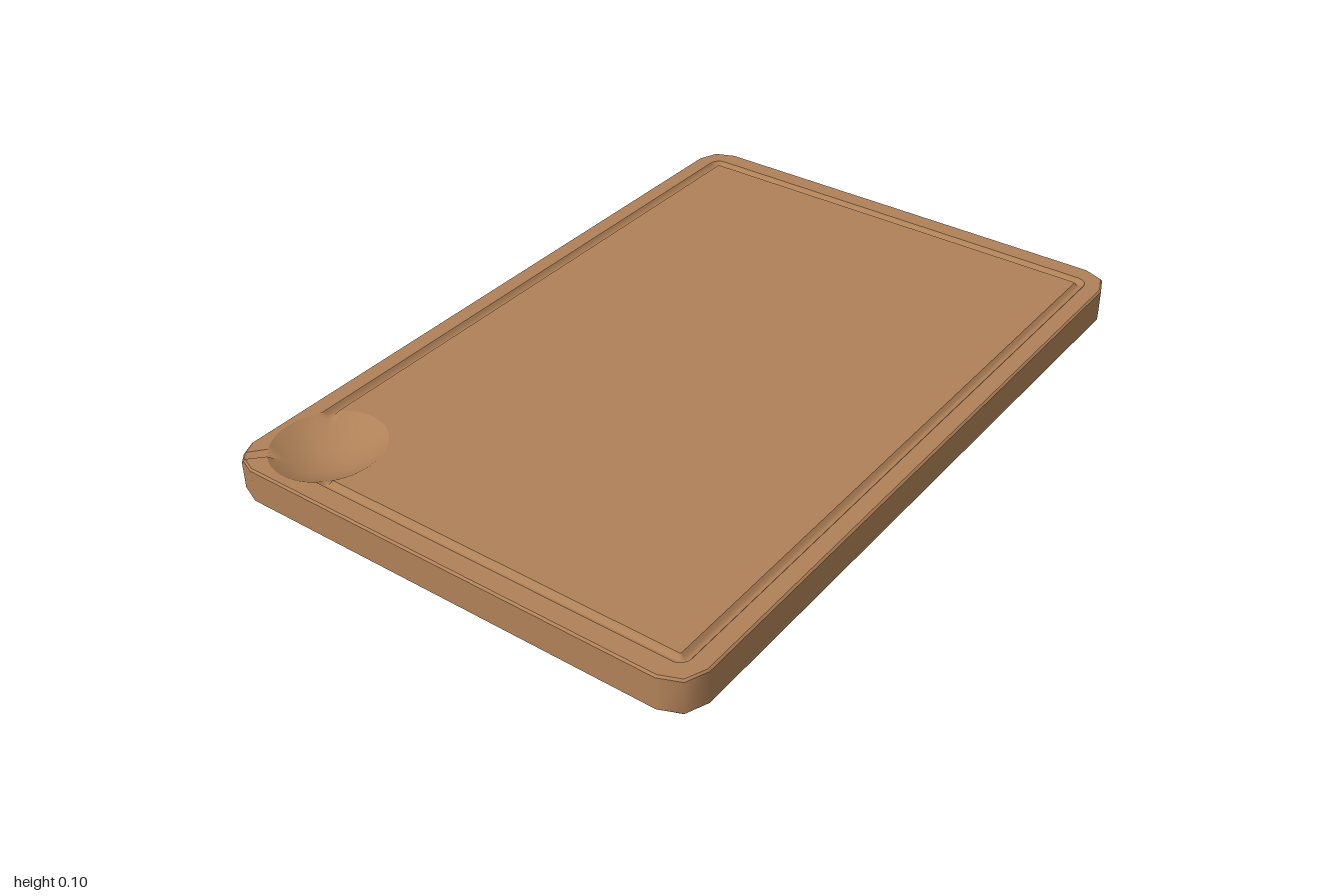
import * as THREE from 'three';

const H = 0.098, HX = 1, HZ = 0.678, CORNER = 0.08, BEVEL = 0.005;
const bowl = { x: -0.8235, z: -0.517, rx: 0.149, rz: 0.139, depth: 0.05 };

// Points of a corner arc, angles in degrees (0 = +x, 90 = +z)
function arc(cx, cz, rx, rz, from, to, n) {
  return Array.from({ length: n + 1 }, (_, i) => {
    const a = THREE.MathUtils.degToRad(from + (to - from) * i / n);
    return [cx + rx * Math.cos(a), cz + rz * Math.sin(a)];
  });
}
const bowlArc = (from, to, n) => arc(bowl.x, bowl.z, bowl.rx, bowl.rz, from, to, n);
const at = (pts, y) => pts.map(([x, z]) => [x, y, z]);

// Three rounded corners in order: back right, front right, front left
function threeCorners(hx, hz, r, n) {
  const x = hx - r, z = hz - r;
  return [...arc(x, -z, r, r, 270, 360, n), ...arc(x, z, r, r, 0, 90, n), ...arc(-x, z, r, r, 90, 180, n)];
}

// Surface through rows of equal length
function sheet(rows, closed = false) {
  const n = rows[0].length, index = [];
  for (let j = 0; j < rows.length - 1; j++) {
    for (let i = 0; i < (closed ? n : n - 1); i++) {
      const k = (i + 1) % n, a = j * n + i, b = a + n, c = j * n + k, d = c + n;
      index.push(a, b, c, b, d, c);
    }
  }
  const g = new THREE.BufferGeometry();
  g.setAttribute('position', new THREE.Float32BufferAttribute(rows.flat(2), 3));
  g.setIndex(index);
  g.computeVertexNormals();
  return g;
}

// Flat horizontal polygon facing up or down
function flat(pts, y, up) {
  const s = up ? -1 : 1;
  const shape = new THREE.Shape(pts.map(([x, z]) => new THREE.Vector2(x, s * z)));
  return new THREE.ShapeGeometry(shape).rotateX(s * Math.PI / 2).translate(0, y, 0);
}

// Board outline, starting at the middle of the back left corner (the spout)
function outline(inset) {
  const hx = HX - inset, hz = HZ - inset, r = CORNER - inset;
  const [left, mid, back] = arc(r - hx, r - hz, r, r, 180, 270, 2);
  const near = (p) => mid.map((v, i) => v + (p[i] - v) * 0.25);
  return [mid, near(back), back, ...threeCorners(hx, hz, r, 2), left, near(left)];
}

export function createModel() {
  const group = new THREE.Group();
  const wood = new THREE.MeshStandardMaterial({ color: 0xb08158 });
  wood.name = 'wood';
  const add = (name, geometry) => {
    const mesh = new THREE.Mesh(geometry, wood);
    mesh.name = name;
    group.add(mesh);
  };

  // Sides with fine bevels, dipping where the spout leaves the board
  const inner = outline(BEVEL), outer = outline(0);
  const spoutDepth = 0.014;
  const ring = (pts, y, dip = 0) => {
    const row = at(pts, y);
    row[0][1] -= dip;
    return row;
  };
  const low = ring(outer, BEVEL), high = ring(outer, H - BEVEL, spoutDepth);
  const top = ring(inner, H, spoutDepth);
  add('sideWall', sheet([low, high], true));
  add('lowerBevel', sheet([ring(inner, 0), low], true));
  add('upperBevel', sheet([high, top], true));
  add('underside', flat(inner, 0, false));

  // Juice groove: lines from its outer to its inner edge, each ending at the bowl
  const deg = THREE.MathUtils.radToDeg;
  const width = 0.028, steps = 6;
  const lines = [];
  for (let k = 0; k <= steps; k++) {
    const u = k / steps, o = width * u;
    const hx = 0.944 - o, hz = 0.629 - o, r = 0.031 - o;
    const leftAngle = deg(Math.acos((-hx - bowl.x) / bowl.rx));
    const backAngle = deg(Math.asin((-hz - bowl.z) / bowl.rz));
    const pts = [bowlArc(backAngle, 0, 1)[0], ...threeCorners(hx, hz, r, 4), bowlArc(leftAngle, 0, 1)[0]];
    lines.push({ pts, leftAngle, backAngle, y: H - 0.013 * Math.sin(Math.PI * u) });
  }
  add('juiceGroove', sheet(lines.map((l) => at(l.pts, l.y))));
  const first = lines[0], last = lines[steps];

  // Bowl rim pieces between the groove mouths and the spout
  const spoutAngle = 224, half = 6;
  const innerArc = bowlArc(last.leftAngle, last.backAngle, 28);
  const backArc = bowlArc(first.backAngle + 360, spoutAngle + half, 12);
  const leftArc = bowlArc(spoutAngle - half, first.leftAngle, 12);
  const spoutMouth = at(bowlArc(spoutAngle, 0, 1).slice(0, 1), H - spoutDepth)[0];

  // Cutting surface inside the groove and raised border outside it
  add('cuttingSurface', flat([...last.pts, ...innerArc.slice(1, -1)], H, true));
  add('border', flat([
    ...inner.slice(1), ...leftArc.slice(0, -1),
    ...[...first.pts].reverse(), ...backArc.slice(1),
  ], H, true));

  // Spout channel from the bowl to the corner
  add('spout', sheet([
    [top[top.length - 1], top[0], top[1]],
    [at(leftArc, H)[0], spoutMouth, at(backArc, H)[backArc.length - 1]],
  ]));

  // Shallow bowl, its rim following the groove mouths and the spout
  const mouths = lines.slice(1, -1);
  const rim = [
    ...at(innerArc, H),
    ...[...mouths].reverse().map((l) => [l.pts[0][0], l.y, l.pts[0][1]]),
    ...at(backArc, H), spoutMouth, ...at(leftArc, H),
    ...mouths.map((l) => { const p = l.pts[l.pts.length - 1]; return [p[0], l.y, p[1]]; }),
  ];
  const rows = [];
  for (let k = 0; k <= 10; k++) {
    const s = k / 10;
    rows.push(rim.map(([x, y, z]) => [
      bowl.x + (x - bowl.x) * s,
      Math.min(y, H - bowl.depth * (1 - s * s)),
      bowl.z + (z - bowl.z) * s,
    ]));
  }
  add('bowl', sheet(rows, true));
  return group;
}
